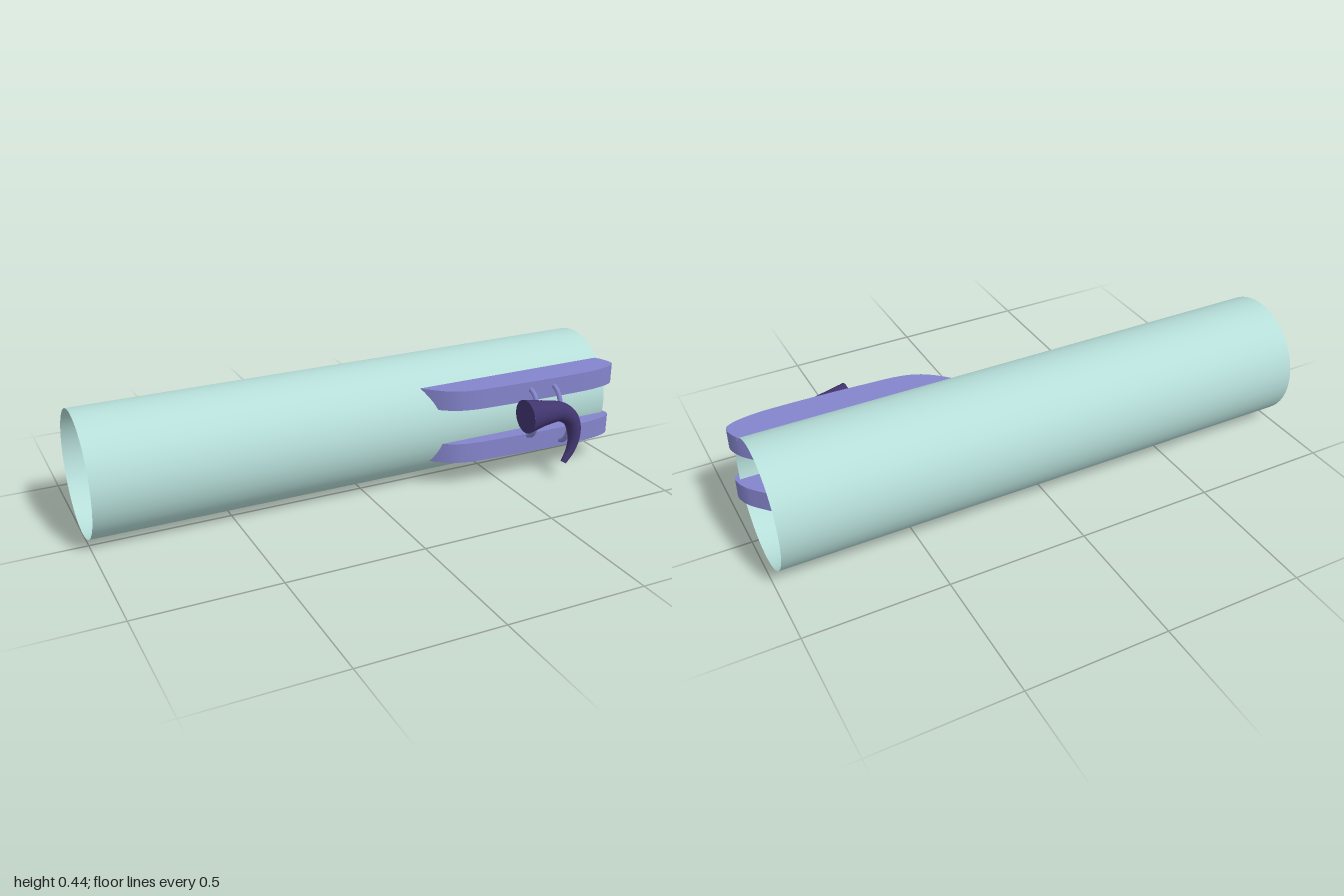
import * as THREE from 'three';
import { toCreasedNormals } from 'three/addons/utils/BufferGeometryUtils.js';

const V = (x, y, z) => new THREE.Vector3(x, y, z);

export function createModel() {
  const model = new THREE.Group();
  const teal = new THREE.MeshStandardMaterial({ color: 0xb6ded9, side: THREE.DoubleSide });
  teal.name = 'paleTeal';
  const violet = new THREE.MeshStandardMaterial({ color: 0x8484cc });
  violet.name = 'violet';
  const dark = new THREE.MeshStandardMaterial({ color: 0x41356f });
  dark.name = 'darkPurple';

  const add = (name, geometry, material) => {
    const mesh = new THREE.Mesh(geometry, material);
    mesh.name = name;
    model.add(mesh);
    return mesh;
  };

  // Open thin-walled tube lying along x
  const tube = add('mainTube', new THREE.CylinderGeometry(0.222, 0.222, 1.98, 96, 1, true), teal);
  tube.rotation.z = Math.PI / 2;
  tube.position.set(-0.01, 0.222, -0.095);

  // Two flat blades: a rounded plan outline (x, z) extruded upward
  const plan = new THREE.Shape();
  plan.moveTo(0.08, -0.085);
  plan.lineTo(0.21, 0.063);
  plan.bezierCurveTo(0.29, 0.15, 0.33, 0.166, 0.46, 0.17);
  plan.bezierCurveTo(0.62, 0.178, 0.75, 0.182, 0.86, 0.179);
  plan.bezierCurveTo(0.95, 0.172, 0.995, 0.155, 0.995, 0.13);
  plan.bezierCurveTo(0.995, 0.11, 0.985, 0.08, 0.97, 0.06);
  plan.bezierCurveTo(0.93, 0.01, 0.88, -0.04, 0.85, -0.065);
  plan.bezierCurveTo(0.83, -0.08, 0.81, -0.085, 0.78, -0.085);
  const outline = new THREE.Shape(plan.getPoints(10).map(p => new THREE.Vector2(p.x, -p.y)));
  const bladeGeometry = toCreasedNormals(
    new THREE.ExtrudeGeometry(outline, { depth: 0.074, bevelEnabled: false }).rotateX(-Math.PI / 2), 0.6);
  add('lowerBlade', bladeGeometry, violet).position.y = 0.101;
  add('upperBlade', bladeGeometry, violet).position.y = 0.306;

  // Curved tapering horn: a tube whose rings are scaled along its path
  const path = new THREE.CatmullRomCurve3([
    V(0.538, 0.282, 0.25), V(0.62, 0.283, 0.25), V(0.69, 0.275, 0.25), V(0.74, 0.235, 0.25),
    V(0.758, 0.168, 0.25), V(0.747, 0.112, 0.25), V(0.72, 0.067, 0.25)]);
  const radii = [0.062, 0.048, 0.038, 0.032, 0.026, 0.018, 0.011];
  const radiusAt = u => {
    const f = u * (radii.length - 1), i = Math.min(Math.floor(f), radii.length - 2);
    return THREE.MathUtils.lerp(radii[i], radii[i + 1], f - i);
  };
  const steps = 48, sides = 32;
  const horn = new THREE.TubeGeometry(path, steps, 1, sides, false);
  const pos = horn.attributes.position, v = V(0, 0, 0);
  for (let i = 0; i < pos.count; i++) {
    const u = Math.floor(i / (sides + 1)) / steps;
    const centre = path.getPointAt(u);
    v.fromBufferAttribute(pos, i).sub(centre).multiplyScalar(radiusAt(u)).add(centre);
    pos.setXYZ(i, v.x, v.y, v.z);
  }
  add('horn', horn, dark);

  // Flat caps on the horn
  for (const [name, u, dir] of [['hornBase', 0, -1], ['hornTip', 1, 1]]) {
    const cap = add(name, new THREE.CircleGeometry(radiusAt(u), sides), dark);
    cap.position.copy(path.getPointAt(u));
    cap.quaternion.setFromUnitVectors(V(0, 0, 1), path.getTangentAt(u).multiplyScalar(dir));
  }

  // Bent rods joining the horn to the blades: [x, blade y, horn y]
  const rods = [[0.605, 0.35, 0.27], [0.705, 0.35, 0.27], [0.605, 0.168, 0.25], [0.75, 0.122, 0.2]];
  for (const [x, y0, y1] of rods) {
    const bend = new THREE.CubicBezierCurve3(
      V(x, y0, 0.165), V(x, y0, 0.205), V(x, y0 + (y1 - y0) * 0.4, 0.222), V(x, y1, 0.23));
    add('rod', new THREE.TubeGeometry(bend, 20, 0.009, 12, false), violet);
  }

  return model;
}
